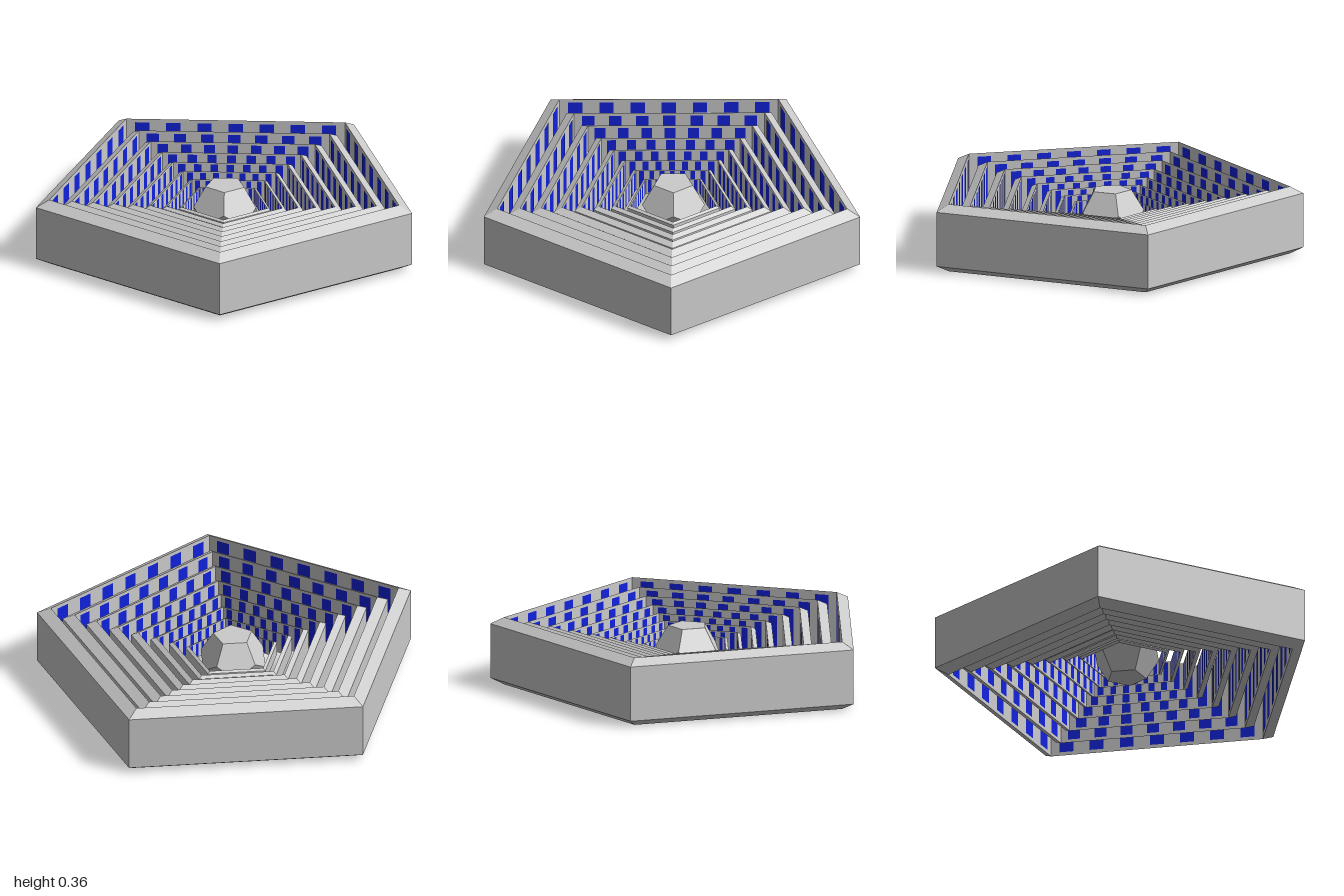
import * as THREE from 'three';
import { mergeGeometries } from 'three/addons/utils/BufferGeometryUtils.js';
import { ConvexGeometry } from 'three/addons/geometries/ConvexGeometry.js';

const CENTRE = [0, 0.181, 0.068];
// Pentagon corners (x, z) around the centre, point towards the back
const CORNERS = [[0, -1.008], [1, -0.283], [0.605, 0.868], [-0.605, 0.868], [-1, -0.283]];
// Ring section (scale of the pentagon, y): chamfered outside, straight inner wall
const INNER = 0.93;
const SECTION = [[1, -0.146], [1, 0.146], [INNER, 0.181], [INNER, -0.181]];
const RING_SCALES = [1, 0.87, 0.75, 0.632, 0.522, 0.422, 0.33, 0.245];
const PANELS_PER_SIDE = 7;

// Flat-sided pentagonal hoop swept from the section
function ringGeometry() {
  const pos = [];
  const point = (i, j) => {
    const [x, z] = CORNERS[i % 5];
    const [s, y] = SECTION[j % 4];
    return [x * s, y, z * s];
  };
  for (let i = 0; i < 5; i++) {
    for (let j = 0; j < 4; j++) {
      const a = point(i + 1, j), b = point(i, j), c = point(i, j + 1), d = point(i + 1, j + 1);
      pos.push(...a, ...b, ...c, ...a, ...c, ...d);
    }
  }
  const geo = new THREE.BufferGeometry();
  geo.setAttribute('position', new THREE.Float32BufferAttribute(pos, 3));
  geo.computeVertexNormals();
  return geo;
}

// Upright coloured panels spaced along each inner wall
function panelGeometry() {
  const parts = [];
  const s = INNER - 0.003;
  for (let i = 0; i < 5; i++) {
    const [ax, az] = CORNERS[i], [bx, bz] = CORNERS[(i + 1) % 5];
    const dx = (bx - ax) * s, dz = (bz - az) * s;
    const width = (Math.hypot(dx, dz) / PANELS_PER_SIDE) * 0.46;
    for (let k = 0; k < PANELS_PER_SIDE; k++) {
      const t = (k + 0.5) / PANELS_PER_SIDE;
      const panel = new THREE.PlaneGeometry(width, 0.325);
      panel.rotateY(Math.atan2(-dz, dx));
      panel.translate(ax * s + dx * t, 0, az * s + dz * t);
      parts.push(panel);
    }
  }
  return mergeGeometries(parts);
}

// Dodecahedron standing on one of its faces
function coreGeometry(radius) {
  const points = [];
  for (const side of [1, -1]) {
    for (let i = 0; i < 5; i++) {
      const a = (i * Math.PI * 2) / 5;
      for (const [r, y] of [[0.607, 0.795], [0.982, 0.188]]) {
        points.push(new THREE.Vector3(
          Math.sin(a) * r * radius, side * y * radius, -side * Math.cos(a) * r * radius));
      }
    }
  }
  return new ConvexGeometry(points);
}

export function createModel() {
  const model = new THREE.Group();
  model.name = 'nestedPentagonRings';
  const grey = new THREE.MeshStandardMaterial({ color: 0xcccccc, flatShading: true });
  const blue = new THREE.MeshStandardMaterial({ color: 0x1122dd, side: THREE.DoubleSide });

  // Nested rings, each a smaller copy of the outermost
  const ringGeo = ringGeometry();
  const panelGeo = panelGeometry();
  RING_SCALES.forEach((scale, i) => {
    const ring = new THREE.Group();
    ring.name = `ring${i + 1}`;
    const hoop = new THREE.Mesh(ringGeo, grey);
    hoop.name = 'hoop';
    const panels = new THREE.Mesh(panelGeo, blue);
    panels.name = 'innerPanels';
    ring.add(hoop, panels);
    ring.scale.setScalar(scale);
    ring.position.set(...CENTRE);
    model.add(ring);
  });

  // Core floating in the middle
  const core = new THREE.Mesh(coreGeometry(0.176), grey);
  core.name = 'core';
  core.position.set(0, 0.185, 0.073);
  model.add(core);

  return model;
}
